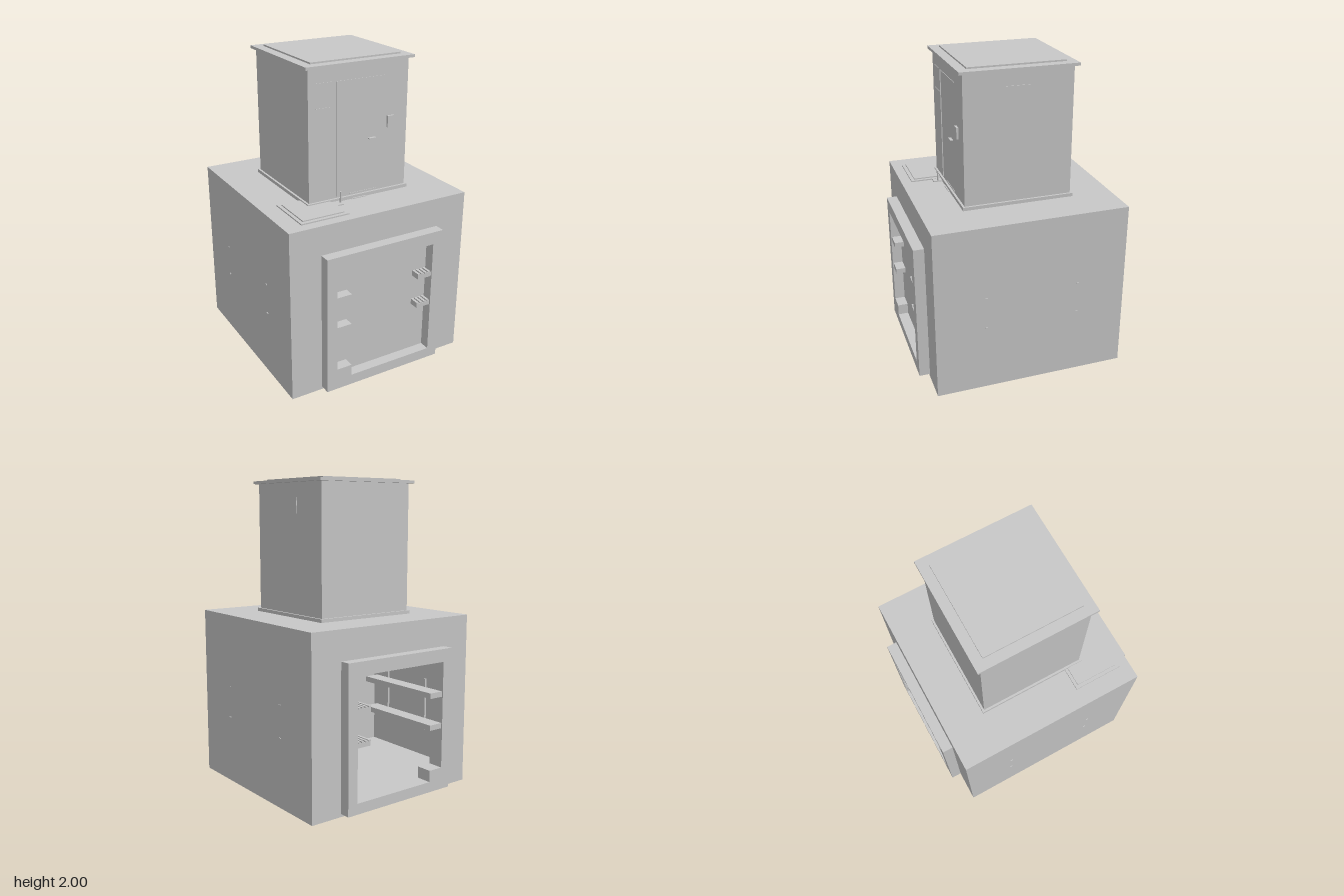
import * as THREE from 'three';

export function createModel() {
  const model = new THREE.Group();
  model.name = 'undergroundChamberWithAccessCabin';
  const grey = new THREE.MeshStandardMaterial({ color: 0xc8c8c8 });
  grey.name = 'concrete grey';

  // Box given by its limits on each axis
  function box(name, x0, x1, y0, y1, z0, z1) {
    const mesh = new THREE.Mesh(new THREE.BoxGeometry(x1 - x0, y1 - y0, z1 - z0), grey);
    mesh.position.set((x0 + x1) / 2, (y0 + y1) / 2, (z0 + z1) / 2);
    mesh.name = name;
    model.add(mesh);
  }

  // Rectangular wall pierced by the stepped opening
  function piercedWall(name, x0, x1, y0, y1, z0, z1) {
    const shape = new THREE.Shape();
    shape.moveTo(x0, y0).lineTo(x1, y0).lineTo(x1, y1).lineTo(x0, y1).closePath();
    const hole = new THREE.Path();
    hole.moveTo(-0.348, 0.163).lineTo(-0.348, 0.857).lineTo(0.345, 0.857);
    hole.lineTo(0.345, 0.088).lineTo(-0.245, 0.088).lineTo(-0.245, 0.163).closePath();
    shape.holes.push(hole);
    const geometry = new THREE.ExtrudeGeometry(shape, { depth: z1 - z0, bevelEnabled: false });
    const mesh = new THREE.Mesh(geometry, grey);
    mesh.position.z = z0;
    mesh.name = name;
    model.add(mesh);
  }

  // Hollow chamber, open at the back
  const H = 0.626;
  box('chamberFloor', -H, H, 0, 0.088, -H, H);
  box('chamberCeiling', -H, H, 1.08, 1.128, -H, H);
  box('chamberFrontWall', -H, H, 0.088, 1.08, 0.26, H);
  for (const s of [-1, 1]) {
    box('chamberSideWall', s < 0 ? -H : 0.595, s < 0 ? -0.595 : H, 0.088, 1.08, -H, 0.26);
  }
  piercedWall('chamberBackWall', -H, H, 0, 1.128, -H, -0.59);
  piercedWall('frontFrame', -0.418, 0.415, 0.02, 0.94, H, 0.695);
  piercedWall('backFrame', -0.418, 0.415, 0.02, 0.94, -0.695, -H);

  // Cable trays, their hangers and the wall bolts
  for (const s of [-1, 1]) {
    for (const y of [0.424, 0.631]) {
      const x0 = s < 0 ? -0.345 : 0.243;
      for (const [z0, z1] of [[-0.69, -0.06], [H, 0.69]]) {
        box('cableTray', x0, x0 + 0.1, y, y + (s < 0 ? 0.035 : 0.028), z0, z1);
        for (let i = 0; s > 0 && i < 4; i++) {
          box('trayRib', x0 + i * 0.026, x0 + i * 0.026 + 0.016, y + 0.028, y + 0.037, z0, z1);
        }
      }
      for (const z of [-0.3, 0.3]) {
        const x = s * 0.627;
        box('wallBolt', x - 0.004, x + 0.004, y + 0.017, y + 0.023, z - 0.008, z + 0.008);
      }
    }
    for (const z of [-0.53, -0.17]) {
      box('trayHanger', s * 0.35 - 0.007, s * 0.35 + 0.007, 0.38, 0.72, z - 0.007, z + 0.007);
    }
  }

  // Access cabin with base flange and stepped roof
  box('cabinBody', -0.348, 0.348, 1.128, 1.98, -0.348, 0.348);
  box('cabinFlange', -0.362, 0.362, 1.128, 1.15, -0.362, 0.362);
  box('roofPlate', -0.374, 0.374, 1.972, 1.99, -0.374, 0.374);
  box('roofCap', -0.311, 0.311, 1.99, 2, -0.311, 0.311);

  // Door edge strips, handle, hinges, lock box and side vent
  box('doorEdge', -0.158, -0.15, 1.16, 1.88, 0.347, 0.354);
  box('doorHead', -0.158, 0.175, 1.877, 1.882, 0.347, 0.351);
  box('doorSill', -0.06, 0.13, 1.16, 1.164, 0.347, 0.351);
  box('doorHandle', 0.065, 0.115, 1.497, 1.504, 0.347, 0.367);
  box('lockBox', 0.2, 0.248, 1.552, 1.625, 0.346, 0.362);
  for (const y of [1.73, 1.88]) box('doorHinge', -0.3, -0.19, y, y + 0.004, 0.347, 0.351);
  box('sideVent', 0.347, 0.352, 1.78, 1.88, -0.09, 0.09);

  // Roof hatch, threshold and guide post
  box('hatchRim', -0.512, -0.19, 1.126, 1.136, 0.237, 0.56);
  box('hatchLid', -0.49, -0.21, 1.13, 1.143, 0.257, 0.537);
  box('postFoot', -0.19, -0.143, 1.126, 1.135, 0.36, 0.42);
  box('threshold', -0.06, 0.05, 1.126, 1.133, 0.35, 0.37);
  const post = new THREE.Mesh(new THREE.CylinderGeometry(0.006, 0.006, 0.075, 16), grey);
  post.position.set(-0.15, 1.168, 0.39);
  post.name = 'guidePost';
  model.add(post);

  return model;
}
